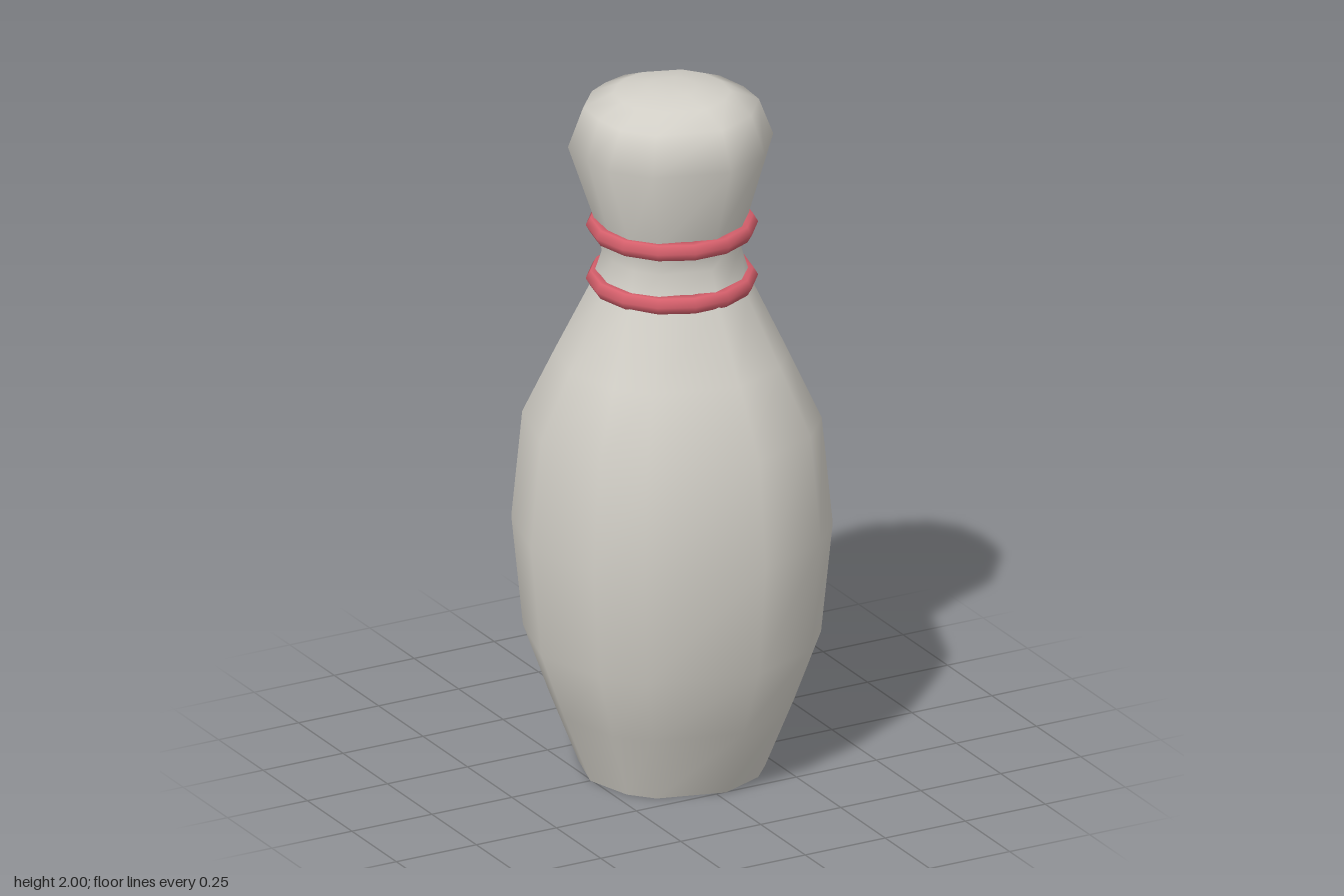
import * as THREE from 'three';

const ivory = new THREE.MeshStandardMaterial({ color: 0xd3d0c8 });
ivory.name = 'ivory';
const red = new THREE.MeshStandardMaterial({ color: 0xd6606c });
red.name = 'red';

// Uneven corner angles (degrees, from +x towards +z) of the belly and the head
const bodyAngles = [0, 32, 51.5, 83.5, 128.5, 148, 180, 213, 232, 250, 276.5, 308, 328];
const headAngles = [-4, 18, 51, 84, 130, 157, 178, 200, 231, 248, 264, 308, 333];
const headScale = [0.955, 1, 0.97, 1, 0.98, 1, 0.955, 1.02, 0.98, 0.98, 1.02, 1.02, 1];
const N = bodyAngles.length;

// Profile: height, radius, blend from belly corners to head corners
const profile = [
  [0, 0.255, 0], [0.2, 0.335, 0], [0.4, 0.408, 0], [0.72, 0.44, 0], [1.03, 0.41, 0],
  [1.22, 0.32, 0.1], [1.42, 0.222, 0.3], [1.52, 0.19, 0.5], [1.6, 0.205, 0.6],
  [1.84, 0.282, 1], [1.95, 0.24, 0.8], [1.985, 0.16, 0.5], [2, 0.07, 0.3],
];

function corner([y, r, t], j) {
  const a = THREE.MathUtils.degToRad(THREE.MathUtils.lerp(bodyAngles[j], headAngles[j], t));
  const s = r * THREE.MathUtils.lerp(1, headScale[j], t);
  return [s * Math.cos(a), y, s * Math.sin(a)];
}

function geometryFrom(points, index) {
  const g = new THREE.BufferGeometry();
  g.setAttribute('position', new THREE.Float32BufferAttribute(points.flat(), 3));
  g.setIndex(index);
  g.computeVertexNormals();
  return g;
}

// Skin joining all rings, closed by a fan at the crown
function skinGeometry() {
  const points = [], index = [];
  profile.forEach((ring, i) => {
    for (let j = 0; j < N; j++) {
      points.push(corner(ring, j));
      const k = (j + 1) % N, a = i * N + j, b = i * N + k;
      if (i < profile.length - 1) index.push(a, a + N, b, b, a + N, b + N);
      else index.push(a, profile.length * N, b);
    }
  });
  points.push([0, 2, 0]);
  return geometryFrom(points, index);
}

// Flat underside
function baseGeometry() {
  const points = [[0, 0, 0]], index = [];
  for (let j = 0; j < N; j++) {
    points.push(corner(profile[0], j));
    index.push(0, j + 1, ((j + 1) % N) + 1);
  }
  return geometryFrom(points, index);
}

export function createModel() {
  const group = new THREE.Group();
  group.name = 'bowlingPin';
  const add = (name, geometry, material) => {
    const mesh = new THREE.Mesh(geometry, material);
    mesh.name = name;
    group.add(mesh);
    return mesh;
  };
  add('pinBody', skinGeometry(), ivory);
  add('pinBase', baseGeometry(), ivory);

  // Two raised neck bands
  const band = new THREE.TorusGeometry(0.21, 0.026, 6, 14).rotateX(Math.PI / 2);
  add('lowerNeckBand', band, red).position.y = 1.44;
  add('upperNeckBand', band, red).position.y = 1.597;
  return group;
}
